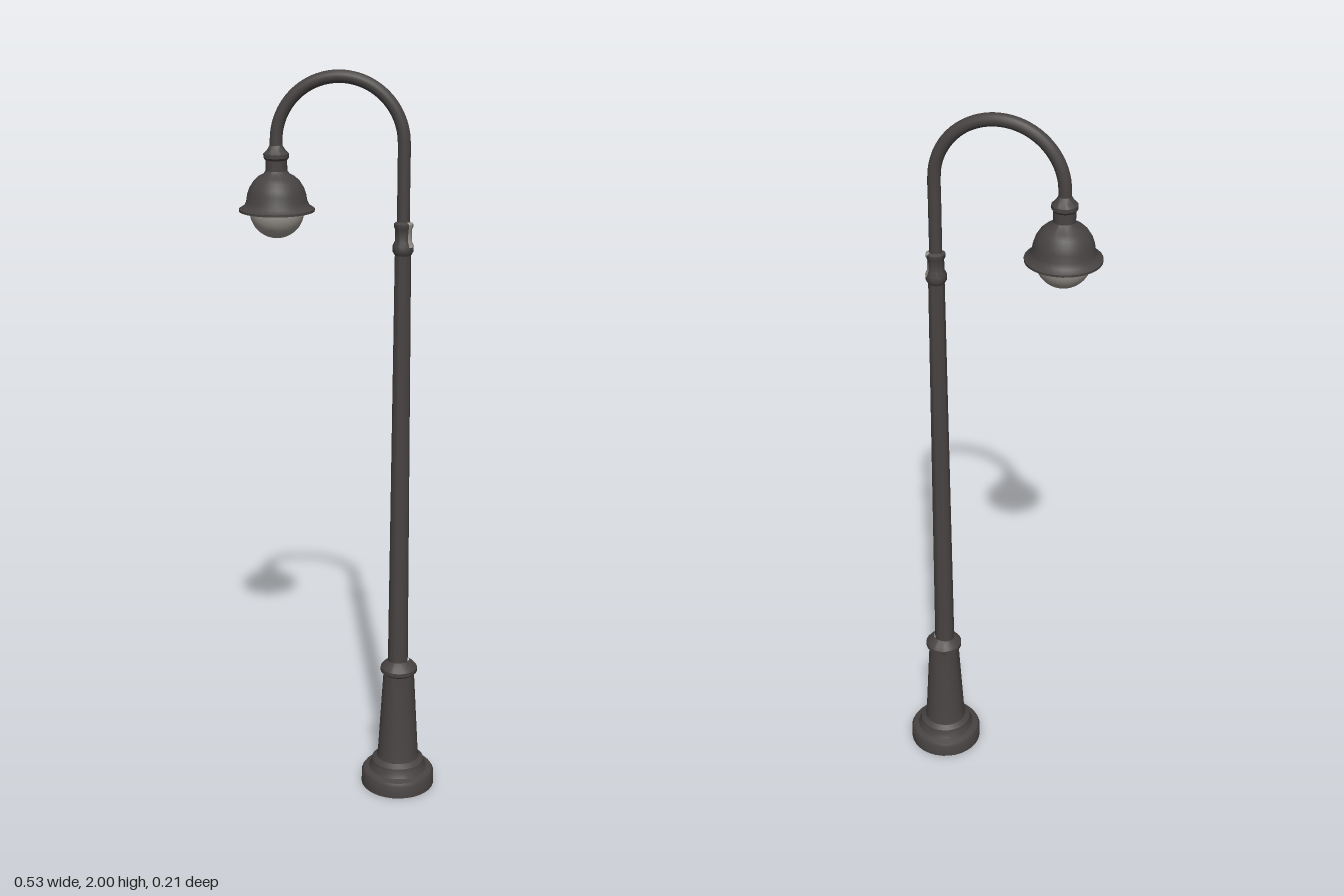
import * as THREE from 'three';
import { toCreasedNormals } from 'three/addons/utils/BufferGeometryUtils.js';

const iron = new THREE.MeshStandardMaterial({ color: 0x474342 });
iron.name = 'dark iron';
const glass = new THREE.MeshStandardMaterial({ color: 0x9c9790 });
glass.name = 'frosted grey';

const POST_X = 0.162;
const LAMP_X = -0.17;

// Turned part from [radius, height] pairs, listed from bottom to top
function turned(name, profile, material, x, start = 0, sweep = Math.PI * 2) {
  const points = profile.map(([r, y]) => new THREE.Vector2(r, y));
  const geometry = new THREE.LatheGeometry(points, 32, start, sweep);
  const mesh = new THREE.Mesh(toCreasedNormals(geometry, 0.6), material);
  mesh.name = name;
  mesh.position.x = x;
  return mesh;
}

export function createModel() {
  const group = new THREE.Group();
  group.name = 'streetLamp';

  // Stepped foot and tapered pedestal
  group.add(turned('base', [
    [0, 0], [0.103, 0], [0.103, 0.035], [0.098, 0.044], [0.082, 0.05],
    [0.076, 0.06], [0.073, 0.075], [0.06, 0.085], [0.057, 0.1],
    [0.043, 0.345], [0.051, 0.352], [0.051, 0.363], [0.043, 0.373], [0.028, 0.385],
  ], iron, POST_X));

  // Slender pole
  group.add(turned('pole', [[0.028, 0.375], [0.021, 1.55]], iron, POST_X - 0.003));

  // Collar where the arm enters the pole
  const neck = [[0.021, 1.572], [0.021, 1.602], [0.024, 1.608], [0.024, 1.617], [0.016, 1.622]];
  group.add(turned('collar', [
    [0.021, 1.535], [0.027, 1.545], [0.027, 1.56], ...neck,
  ], iron, POST_X - 0.003));

  // Pale cover plate on the outer side of the collar
  const cover = [[0.027, 1.558], ...neck].map(([r, y]) => [r + 0.0015, y]);
  group.add(turned('coverPlate', cover, glass, POST_X - 0.003, Math.PI / 2 - 0.85, 1.7));

  // Curved arm: straight riser, half circle, short drop into the lamp
  const armX = POST_X - 0.003;
  const radius = (armX - LAMP_X) / 2;
  const centreX = (armX + LAMP_X) / 2;
  const springY = 2 - 0.0165 - radius;
  const path = [];
  for (let i = 0; i < 4; i++) path.push(new THREE.Vector3(armX, 1.6 + (springY - 1.6) * i / 4, 0));
  for (let i = 0; i <= 16; i++) {
    const a = Math.PI * i / 16;
    path.push(new THREE.Vector3(centreX + radius * Math.cos(a), springY + radius * Math.sin(a), 0));
  }
  path.push(new THREE.Vector3(LAMP_X, 1.78, 0));
  const arm = new THREE.Mesh(
    new THREE.TubeGeometry(new THREE.CatmullRomCurve3(path), 80, 0.0165, 16), iron);
  arm.name = 'arm';
  group.add(arm);

  // Bell shade with its hollow underside, rim, dome and neck
  group.add(turned('shade', [
    [0, 1.69], [0.05, 1.685], [0.074, 1.665], [0.09, 1.643],
    [0.098, 1.641], [0.098, 1.647], [0.085, 1.655], [0.079, 1.667], [0.076, 1.685],
    [0.07, 1.702], [0.06, 1.718], [0.047, 1.73], [0.034, 1.737],
    [0.028, 1.745], [0.028, 1.772], [0.033, 1.778], [0.033, 1.788],
    [0.024, 1.797], [0.016, 1.81],
  ], iron, LAMP_X));

  // Glass bowl hanging below the shade
  const bowl = [];
  for (let i = 0; i <= 12; i++) {
    const a = Math.PI / 2 * i / 12;
    bowl.push([0.071 * Math.sin(a), 1.642 - 0.071 * Math.cos(a)]);
  }
  bowl.push([0.071, 1.668]);
  group.add(turned('glassBowl', bowl, glass, LAMP_X));

  return group;
}
